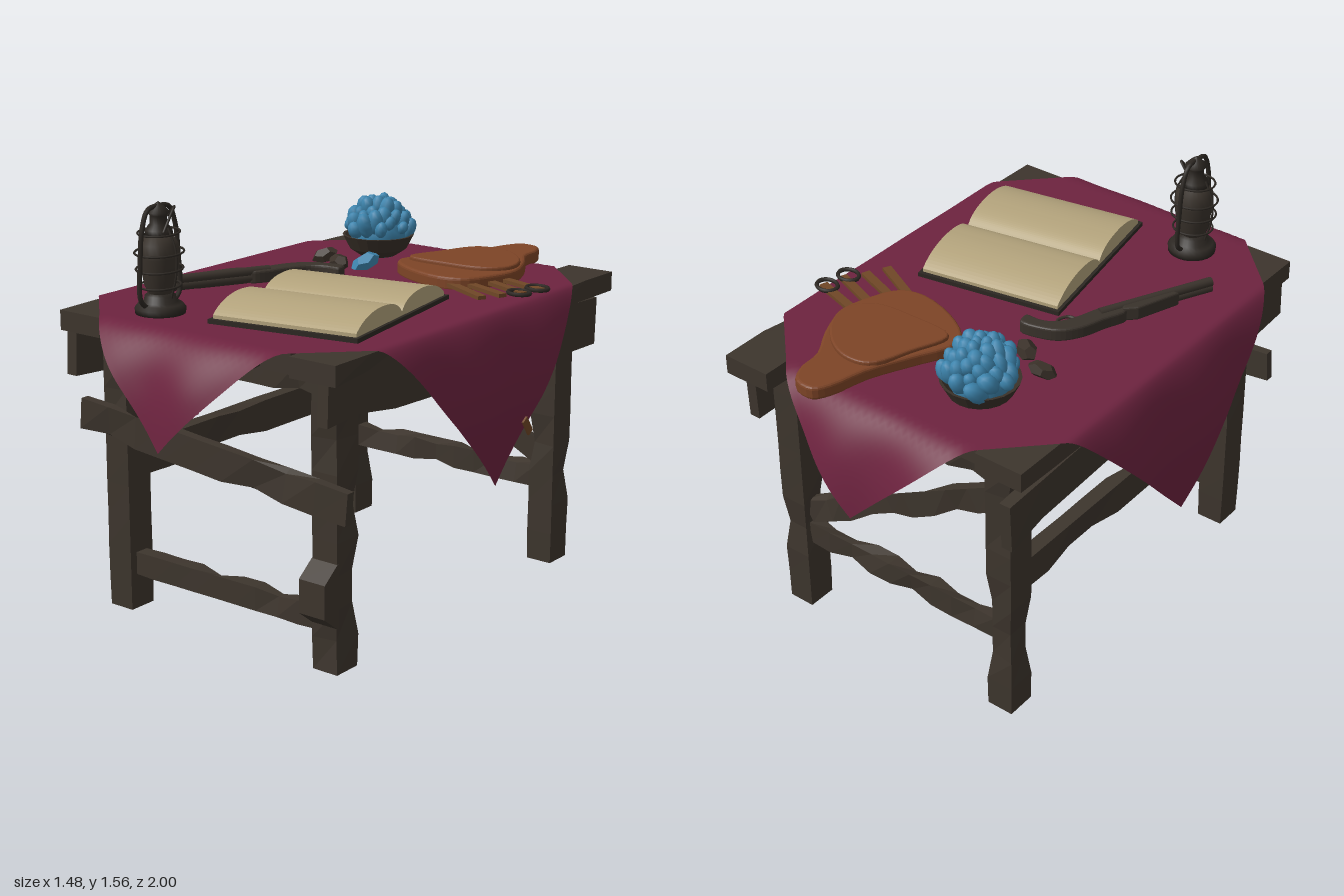
import * as THREE from 'three';

const mat = (name, color, extra = {}) => Object.assign(new THREE.MeshStandardMaterial({ color, ...extra }), { name });

export function createModel() {
  const M = {
    wood: mat('dark wood', 0x3d352d, { flatShading: true }),
    iron: mat('dark iron', 0x2c2722),
    gun: mat('gun steel', 0x39322b),
    stone: mat('brown stone', 0x3a3129, { flatShading: true }),
    cloth: mat('crimson cloth', 0x6d233f, { side: THREE.DoubleSide }),
    paper: mat('old paper', 0xb3a37c),
    leather: mat('leather', 0x7d4426),
    strap: mat('strap leather', 0x6f4726),
    crystal: mat('blue crystal', 0x3d85ae),
  };
  const root = new THREE.Group();
  root.name = 'tableWithProps';
  const group = (name, parent = root) => {
    const g = new THREE.Group();
    g.name = name;
    parent.add(g);
    return g;
  };
  const add = (parent, name, geo, material, p = [0, 0, 0], r = [0, 0, 0]) => {
    const m = new THREE.Mesh(geo, material);
    m.name = name;
    m.position.set(...p);
    m.rotation.set(...r);
    parent.add(m);
    return m;
  };
  let seed = 7;
  const rnd = () => (seed = (seed * 16807) % 2147483647) / 2147483647;
  const hash = (x, y, z) => {
    const s = Math.sin(x * 127.1 + y * 311.7 + z * 74.7) * 43758.5453;
    return s - Math.floor(s);
  };

  // Worn timber: a box whose edges are chipped inwards here and there
  const timber = (parent, name, size, p, r = [0, 0, 0]) => {
    const long = size.indexOf(Math.max(...size));
    const geo = new THREE.BoxGeometry(...size, ...size.map((s, i) => (i === long ? 9 : 1)));
    const pos = geo.attributes.position;
    for (let i = 0; i < pos.count; i++) {
      const v = [pos.getX(i), pos.getY(i), pos.getZ(i)].map(c => Math.round(c * 1e4) / 1e4);
      const h = hash(v[0] + p[0], v[1] + p[1], v[2] + p[2]);
      const k = Math.abs(v[long]) > size[long] / 2 - 1e-3 ? 0.003 : h > 0.82 ? 0.016 : 0.003 * h;
      pos.setXYZ(i, ...v.map((c, a) => (a === long ? c : c - Math.sign(c) * k)));
    }
    geo.computeVertexNormals();
    return add(parent, name, geo, M.wood, p, r);
  };

  // Flat outline in [x, z] extruded upwards
  const slab = (parent, name, pts, y, h, bevel, material, smooth = false) => {
    const v = pts.map(([x, z]) => new THREE.Vector2(x, -z));
    const shape = smooth
      ? new THREE.Shape(new THREE.CatmullRomCurve3(v.map(q => new THREE.Vector3(q.x, q.y, 0)), true)
        .getPoints(48).slice(0, -1).map(q => new THREE.Vector2(q.x, q.y)))
      : new THREE.Shape(v);
    const geo = new THREE.ExtrudeGeometry(shape, {
      depth: h, bevelEnabled: bevel > 0, bevelSize: bevel, bevelThickness: bevel, bevelOffset: -bevel, bevelSegments: 3,
    });
    return add(parent, name, geo.rotateX(-Math.PI / 2), material, [0, y, 0]);
  };
  const tube = (parent, name, pts, r, material, closed = false) => add(parent, name,
    new THREE.TubeGeometry(new THREE.CatmullRomCurve3(pts.map(p => new THREE.Vector3(...p)), closed), 32, r, 7, closed), material);
  const rod = (parent, name, a, b, r, material) => {
    const A = new THREE.Vector3(...a), B = new THREE.Vector3(...b), d = B.clone().sub(A);
    const m = add(parent, name, new THREE.CylinderGeometry(r, r, d.length(), 14), material, A.add(B).multiplyScalar(0.5).toArray());
    m.quaternion.setFromUnitVectors(new THREE.Vector3(0, 1, 0), d.normalize());
  };

  // Table
  const table = group('table');
  [[-0.52, 0.2, -0.83, 0.83], [-0.3, 0.22, -0.8, 0.79], [-0.07, 0.22, -0.81, 0.81], [0.16, 0.22, -0.8, 0.8],
    [0.35, 0.14, -0.81, 0.79], [0.53, 0.2, -0.92, 0.82]].forEach(([x, w, z0, z1]) =>
    timber(table, 'topPlank', [w, 0.08, z1 - z0], [x, 1.12, (z0 + z1) / 2]));
  for (const x of [-0.485, 0.485]) for (const z of [0.64, -0.73]) timber(table, 'leg', [0.112, 1.09, 0.12], [x, 0.55, z]);
  for (const z of [0.64, -0.73]) timber(table, 'endApron', [0.88, 0.1, 0.06], [0, 1.03, z]);
  timber(table, 'sideApron', [0.05, 0.2, 1.68], [-0.575, 0.975, -0.02], [-0.05, 0, 0]);
  timber(table, 'sideApron', [0.05, 0.19, 1.68], [0.575, 1.0, -0.02], [-0.036, 0, 0]);
  timber(table, 'sideStretcher', [0.06, 0.13, 1.27], [-0.485, 0.565, -0.045]);
  timber(table, 'frontRail', [0.88, 0.092, 0.06], [0, 0.183, 0.64]);
  timber(table, 'backRail', [0.88, 0.096, 0.06], [0, 0.343, -0.73]);
  timber(table, 'backBrace', [1.02, 0.1, 0.05], [0, 0.68, -0.73], [0, 0, -0.5]);
  timber(table, 'frontCrossPlank', [1.24, 0.125, 0.04], [-0.01, 0.69, 0.718], [0, 0, -0.09]);
  const block = new THREE.Shape([[0.69, 0.18], [0.7, 0.18], [0.77, 0.235], [0.77, 0.36], [0.7, 0.415], [0.69, 0.415]]
    .map(([z, y]) => new THREE.Vector2(-z, y)));
  add(table, 'legBlock', new THREE.ExtrudeGeometry(block, { depth: 0.112, bevelEnabled: false }).rotateY(Math.PI / 2),
    M.wood, [0.43, 0, 0]);

  // Square cloth laid corner-wise, its four corners folding over the edges
  const side = 1.25 * Math.SQRT2;
  const cloth = new THREE.PlaneGeometry(side, side, 72, 72).rotateZ(Math.PI / 4).rotateX(-Math.PI / 2);
  const cp = cloth.attributes.position;
  const fold = (t, out) => [out * (1 - Math.exp(-t / 0.14)), Math.sqrt(t * t + 0.0016) - 0.04];
  for (let i = 0; i < cp.count; i++) {
    let x = cp.getX(i), z = cp.getZ(i), y = 1.166;
    const tx = Math.abs(x) - 0.632, tz = Math.abs(z) - 0.825;
    if (tx > 0) {
      const [o, d] = fold(tx, 0.11);
      x = Math.sign(x) * (0.632 + o - 0.1 * Math.max(0, tx - 0.35) + 0.008 * Math.sin(z * 14) * Math.min(1, tx * 4));
      y -= d * 1.07;
    }
    if (tz > 0) {
      const [o, d] = fold(tz, 0.18);
      z = Math.sign(z) * (0.825 + o + 0.012 * Math.sin(x * 16) * Math.min(1, tz * 5));
      y -= d;
    }
    cp.setXYZ(i, x, y, z);
  }
  cloth.computeVertexNormals();
  add(root, 'tablecloth', cloth, M.cloth);

  // Open book
  const book = group('book');
  book.position.set(0.19, 1.168, 0.285);
  book.rotation.y = 0.175;
  add(book, 'cover', new THREE.BoxGeometry(0.585, 0.016, 0.72), M.iron, [0, 0.009, 0]);
  const page = new THREE.Shape();
  page.moveTo(-0.345, 0.015);
  page.lineTo(0.345, 0.015);
  page.lineTo(0.345, 0.03);
  page.bezierCurveTo(0.29, 0.075, 0.2, 0.088, 0.13, 0.082);
  page.bezierCurveTo(0.06, 0.078, 0.02, 0.06, 0, 0.03);
  page.bezierCurveTo(-0.02, 0.06, -0.06, 0.078, -0.13, 0.082);
  page.bezierCurveTo(-0.2, 0.088, -0.29, 0.075, -0.345, 0.03);
  add(book, 'pages', new THREE.ExtrudeGeometry(page, { depth: 0.56, bevelEnabled: false, curveSegments: 16 })
    .translate(0, 0, -0.28).rotateY(Math.PI / 2), M.paper);

  // Lantern
  const lantern = group('lantern');
  lantern.position.set(-0.28, 1.167, 0.665);
  const lathe = (name, pts, material) => add(lantern, name,
    new THREE.LatheGeometry(pts.map(p => new THREE.Vector2(...p)), 24), material);
  lathe('base', [[0, 0], [0.09, 0], [0.092, 0.02], [0.08, 0.035], [0.06, 0.04], [0.055, 0.065], [0.035, 0.075], [0, 0.078]], M.iron);
  lathe('globe', [[0.04, 0.07], [0.055, 0.1], [0.073, 0.2], [0.07, 0.25], [0.045, 0.285], [0, 0.288]], M.gun);
  lathe('cap', [[0, 0.275], [0.052, 0.28], [0.048, 0.3], [0.032, 0.32], [0.03, 0.35], [0.042, 0.362], [0.02, 0.385], [0, 0.4]], M.iron);
  for (const s of [-1, 1]) {
    tube(lantern, 'sideFrame', [[0, 0.03, s * 0.07], [0, 0.06, s * 0.1], [0, 0.2, s * 0.098], [0, 0.31, s * 0.085],
      [0, 0.375, s * 0.055], [0, 0.385, 0]], 0.009, M.iron);
    tube(lantern, 'guardWire', [[s * 0.055, 0.06, 0], [s * 0.078, 0.14, 0], [s * 0.08, 0.23, 0], [s * 0.045, 0.31, 0]], 0.004, M.iron);
  }
  for (const [y, r] of [[0.1, 0.075], [0.16, 0.084], [0.22, 0.088], [0.29, 0.075]])
    add(lantern, 'guardRing', new THREE.TorusGeometry(r, 0.004, 6, 28), M.iron, [0, y, 0], [Math.PI / 2 + 0.05, 0, 0]);
  tube(lantern, 'handle', [[0, 0.34, -0.05], [0.04, 0.38, -0.04], [0.055, 0.35, 0], [0.06, 0.3, 0.04]], 0.005, M.iron);

  // Bowl heaped with crystals
  const bowl = group('crystalBowl');
  bowl.position.set(-0.25, 1.167, -0.58);
  add(bowl, 'bowl', new THREE.LatheGeometry([[0, 0], [0.07, 0], [0.115, 0.03], [0.143, 0.085], [0.133, 0.085], [0.1, 0.05], [0, 0.04]]
    .map(p => new THREE.Vector2(...p)), 20), M.stone);
  add(bowl, 'crystalHeap', new THREE.SphereGeometry(0.11, 16, 10), M.crystal, [0, 0.085, 0]);
  for (let i = 0; i < 42; i++) {
    const a = i * 2.4, q = Math.sqrt((i + 0.5) / 42) * 0.125, s = 0.022 + rnd() * 0.014;
    const m = add(bowl, 'crystal', new THREE.SphereGeometry(s, 8, 6), M.crystal,
      [Math.cos(a) * q, 0.2 - q * q * 6.5 + rnd() * 0.015, Math.sin(a) * q], [Math.sin(a) * q * 5, a, -Math.cos(a) * q * 5]);
    m.scale.y = 1.2 + rnd() * 0.5;
  }

  // Loose stones
  [[-0.34, -0.35, M.stone, 0.5, 0.045], [-0.22, -0.285, M.stone, -0.6, 0.048], [-0.14, -0.35, M.crystal, 1.1, 0.05]]
    .forEach(([x, z, m, a, s]) => add(root, 'looseStone', new THREE.DodecahedronGeometry(s, 0), m, [x, 1.19, z], [0.3, a, 0.2])
      .scale.set(1.25, 0.7, 0.8));

  // Short double-barrelled gun lying on its side
  const gun = group('gun');
  for (const y of [1.184, 1.208]) rod(gun, 'barrel', [-0.5, y, 0.46], [-0.3, y, 0.04], 0.018, M.gun);
  slab(gun, 'foreEnd', [[-0.46, 0.31], [-0.42, 0.31], [-0.33, 0.13], [-0.36, 0.1], [-0.4, 0.14]], 1.172, 0.04, 0.008, M.gun);
  slab(gun, 'receiverAndGrip', [[-0.37, 0.11], [-0.34, 0.02], [-0.31, -0.07], [-0.26, -0.14], [-0.2, -0.17], [-0.11, -0.18],
    [-0.1, -0.13], [-0.16, -0.125], [-0.21, -0.1], [-0.25, -0.03], [-0.28, 0.06], [-0.32, 0.12]], 1.17, 0.034, 0.01, M.gun, true);
  tube(gun, 'triggerGuard', [[-0.25, -0.02, 0], [-0.21, -0.03, 0], [-0.195, -0.07, 0], [-0.22, -0.1, 0]]
    .map(([x, z]) => [x, 1.192, z]), 0.006, M.gun);

  // Leather pouch with flap, straps and buckles
  const pouch = group('leatherPouch');
  slab(pouch, 'pouchBody', [[0.16, -0.88], [0.2, -0.94], [0.28, -0.93], [0.32, -0.86], [0.33, -0.77], [0.4, -0.65], [0.45, -0.51],
    [0.43, -0.4], [0.37, -0.28], [0.28, -0.25], [0.12, -0.29], [0, -0.37], [-0.02, -0.43], [0.05, -0.58], [0.12, -0.73]],
  1.17, 0.03, 0.012, M.leather, true);
  slab(pouch, 'pouchFlap', [[0.13, -0.72], [0.22, -0.74], [0.32, -0.7], [0.41, -0.6], [0.43, -0.5], [0.36, -0.42], [0.2, -0.4],
    [0.02, -0.42], [0.06, -0.56]], 1.2, 0.02, 0.008, M.leather, true);
  [[0.42, -0.46, 0.64, -0.395], [0.41, -0.39, 0.62, -0.31], [0.38, -0.31, 0.57, -0.24], [0.32, -0.27, 0.53, -0.165]]
    .forEach(([x0, z0, x1, z1]) => add(pouch, 'strap', new THREE.BoxGeometry(Math.hypot(x1 - x0, z1 - z0), 0.014, 0.034), M.strap,
      [(x0 + x1) / 2, 1.182, (z0 + z1) / 2], [0, -Math.atan2(z1 - z0, x1 - x0), 0]));
  for (const [x, z] of [[0.62, -0.395], [0.605, -0.295]])
    add(pouch, 'buckle', new THREE.TorusGeometry(0.04, 0.008, 6, 20), M.iron, [x, 1.188, z], [Math.PI / 2, 0, 0.2]).scale.set(1.1, 0.9, 1);
  add(pouch, 'hangingScrap', new THREE.BoxGeometry(0.008, 0.07, 0.03), M.strap, [0.735, 0.735, -0.17], [0.6, 0, 0]);
  return root;
}
